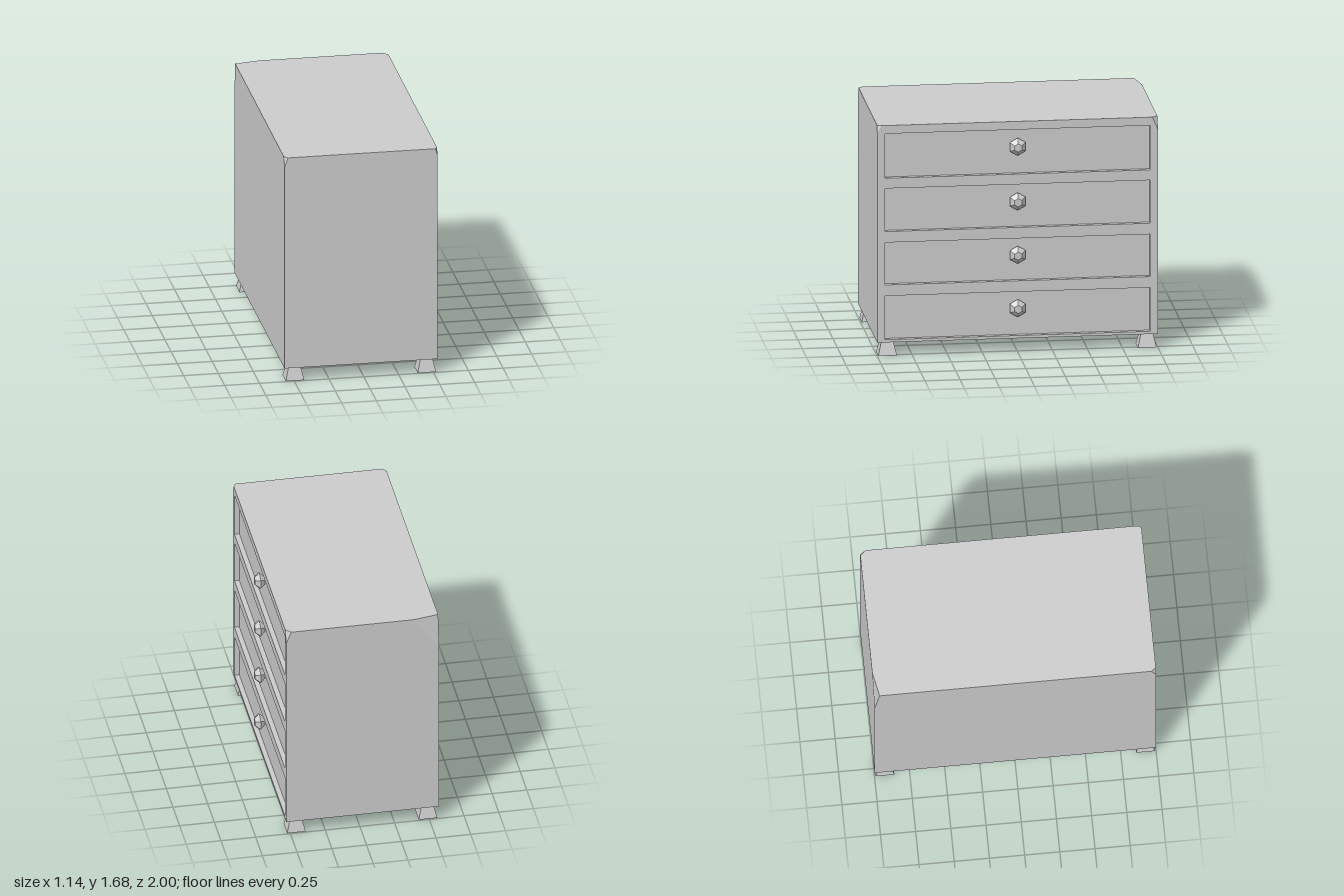
import * as THREE from 'three';

const X0 = -0.57, X1 = 0.53, Y0 = 0.1, Y1 = 1.685, Z = 1;
const RECESS = 0.035, HALF_DRAWER = 0.945;
// bottom, top and knob height of every drawer
const DRAWERS = [[0.12, 0.44, 0.32], [0.52, 0.83, 0.71], [0.91, 1.225, 1.1], [1.3, 1.625, 1.5]];

// Convex flat polygon whose normal points away from (or towards) a reference point
function addFace(out, points, ref, towards = false) {
  const v = points.map(p => new THREE.Vector3(...p));
  const normal = v[1].clone().sub(v[0]).cross(v[2].clone().sub(v[0]));
  const away = normal.dot(v[0].clone().sub(new THREE.Vector3(...ref))) > 0;
  if (away === towards) v.reverse();
  for (let i = 1; i < v.length - 1; i++) {
    for (const p of [v[0], v[i], v[i + 1]]) out.push(p.x, p.y, p.z);
  }
}

function toGeometry(positions) {
  const g = new THREE.BufferGeometry();
  g.setAttribute('position', new THREE.Float32BufferAttribute(positions, 3));
  g.computeVertexNormals();
  return g;
}

// Worn top corner: cut lengths along x, y and z
function corner(x, z, dx, dy, dz) {
  return {
    alongX: [x - Math.sign(x) * dx, Y1, z],
    down: [x, Y1 - dy, z],
    alongZ: [x, Y1, z - Math.sign(z) * dz],
  };
}

export function createModel() {
  const group = new THREE.Group();
  const material = new THREE.MeshStandardMaterial({ color: 0xcccccc, flatShading: true });
  const add = (name, geometry, parent = group) => {
    const mesh = new THREE.Mesh(geometry, material);
    mesh.name = name;
    parent.add(mesh);
    return mesh;
  };

  // Cabinet shell: every side except the drawer side
  const a = corner(X0, Z, 0.025, 0.07, 0.035);
  const b = corner(X1, Z, 0.015, 0.055, 0.03);
  const c = corner(X1, -Z, 0.035, 0.09, 0.04);
  const d = corner(X0, -Z, 0.18, 0.25, 0.035);
  const [fa, fb, fc, fd] = [[X0, Y0, Z], [X1, Y0, Z], [X1, Y0, -Z], [X0, Y0, -Z]];
  const centre = [0, 0.9, 0];
  const shell = [];
  addFace(shell, [fa, fb, fc, fd], centre);
  addFace(shell, [a.alongX, b.alongX, b.alongZ, c.alongZ, c.alongX, d.alongX, d.alongZ, a.alongZ], centre);
  addFace(shell, [fa, fb, b.down, b.alongX, a.alongX, a.down], centre);
  addFace(shell, [fc, fd, d.down, d.alongX, c.alongX, c.down], centre);
  addFace(shell, [fd, fa, a.down, a.alongZ, d.alongZ, d.down], centre);
  for (const k of [a, b, c, d]) addFace(shell, [k.alongX, k.down, k.alongZ], centre);
  add('cabinetShell', toGeometry(shell));

  // Drawer frame: one flat panel with four openings
  const outline = [fb, fc, c.down, c.alongZ, b.alongZ, b.down].map(p => new THREE.Vector2(-p[2], p[1]));
  const frame = new THREE.Shape(outline);
  for (const [low, high] of DRAWERS) {
    frame.holes.push(new THREE.Path([
      new THREE.Vector2(-HALF_DRAWER, low), new THREE.Vector2(-HALF_DRAWER, high),
      new THREE.Vector2(HALF_DRAWER, high), new THREE.Vector2(HALF_DRAWER, low),
    ]));
  }
  add('drawerFrame', new THREE.ShapeGeometry(frame).rotateY(Math.PI / 2).translate(X1, 0, 0));

  // Faceted knob, turned around the x axis
  const profile = [[0, 0], [0.03, 0], [0.065, 0.037], [0.03, 0.072], [0, 0.072]];
  const knobGeometry = new THREE.LatheGeometry(profile.map(p => new THREE.Vector2(...p)), 6)
    .rotateZ(-Math.PI / 2);
  knobGeometry.rotateX(Math.PI / 6);
  knobGeometry.computeBoundingBox();
  // keep a hexagon point upwards
  if (knobGeometry.boundingBox.max.y < 0.06) knobGeometry.rotateX(Math.PI / 6);

  // Recessed drawers
  DRAWERS.forEach(([low, high, knobY], i) => {
    const drawer = new THREE.Group();
    drawer.name = `drawer${i + 1}`;
    group.add(drawer);
    const back = X1 - RECESS;
    const rim = [[low, HALF_DRAWER], [low, -HALF_DRAWER], [high, -HALF_DRAWER], [high, HALF_DRAWER]];
    const middle = [X1, (low + high) / 2, 0];
    const pocket = [];
    addFace(pocket, rim.map(([y, z]) => [back, y, z]), middle, true);
    rim.forEach(([y, z], j) => {
      const [y2, z2] = rim[(j + 1) % 4];
      addFace(pocket, [[back, y, z], [X1, y, z], [X1, y2, z2], [back, y2, z2]], middle, true);
    });
    add('drawerFront', toGeometry(pocket), drawer);
    add('knob', knobGeometry, drawer).position.set(back, knobY, 0);
  });

  // Tapered feet, wider at the floor
  const footGeometry = new THREE.CylinderGeometry(0.042 * Math.SQRT2, 0.0665 * Math.SQRT2, Y0, 4)
    .rotateY(Math.PI / 4);
  for (const x of [-0.4925, 0.455]) {
    for (const z of [-0.925, 0.925]) add('foot', footGeometry).position.set(x, Y0 / 2, z);
  }
  return group;
}
